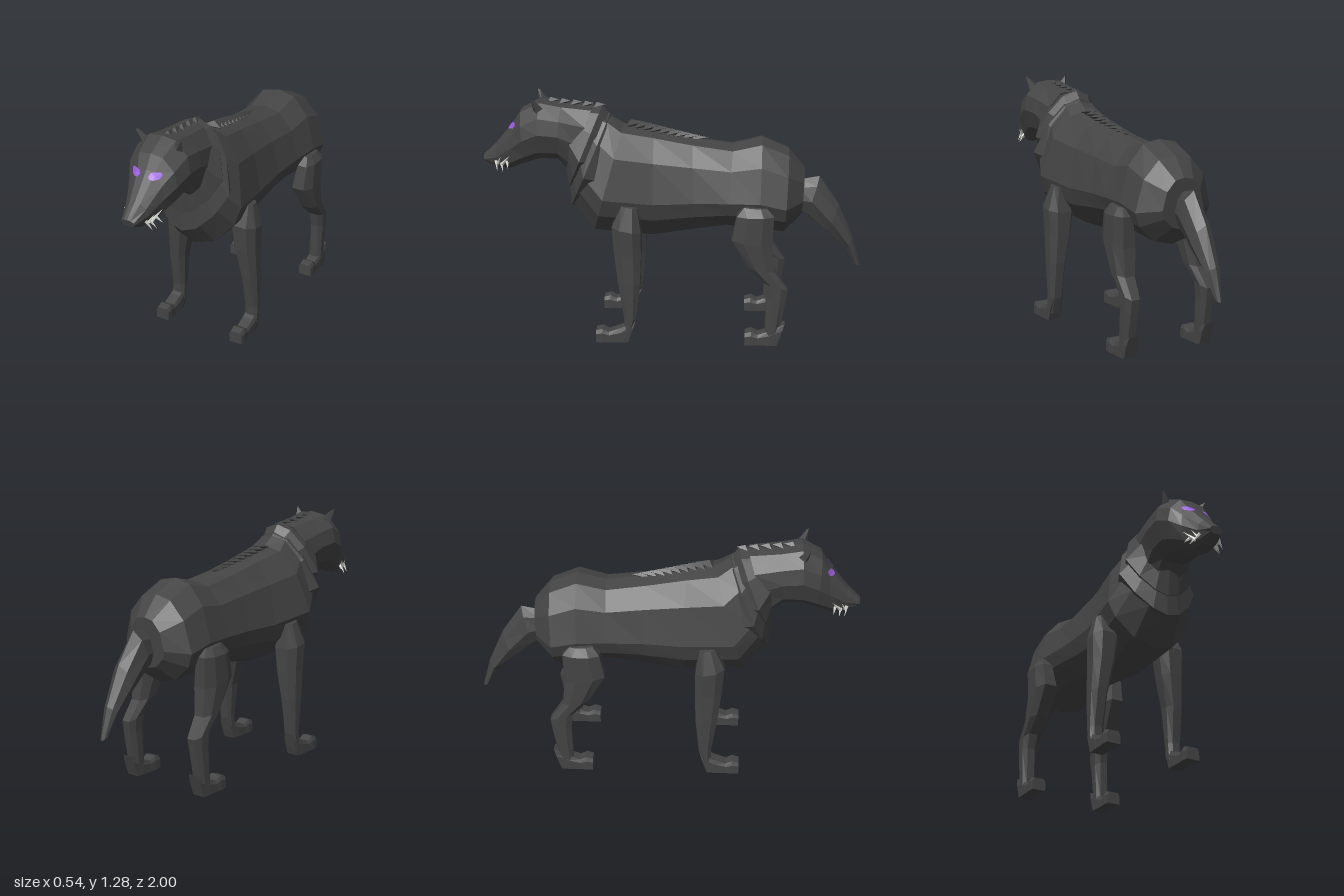
import * as THREE from 'three';
import { ConvexGeometry } from 'three/addons/geometries/ConvexGeometry.js';

const furMat = new THREE.MeshStandardMaterial({ color: 0x444444 });
furMat.name = 'charcoalFur';
const eyeMat = new THREE.MeshStandardMaterial({ color: 0x9a5ce0, side: THREE.DoubleSide });
eyeMat.name = 'violetEye';
const toothMat = new THREE.MeshStandardMaterial({ color: 0xd6d6d0 });
toothMat.name = 'paleTooth';

// Half outlines as [share of half width, share of the way from edge A to edge B]
const TORSO = [[0, 0], [0.42, 0.04], [0.8, 0.24], [1, 0.6], [0.88, 0.76], [0.48, 0.94], [0, 1]];
const RUFF = [[0, 0], [0.4, 0.06], [0.75, 0.26], [1, 0.57], [0.72, 0.79], [0.34, 0.95], [0, 1]];
const HEAD = [[0, 0], [0.48, 0.03], [0.9, 0.25], [1, 0.52], [0.78, 0.85], [0.42, 1]];
const LIMB = [[0.55, 0], [1, 0.28], [1, 0.72], [0.55, 1]];
const PAW = [[0.75, 0], [1, 0.3], [1, 1]];
const TAIL = [[0, 0], [0.7, 0.22], [1, 0.6], [0.5, 0.95], [0, 1]];

// Faceted loft; each ring is [zA, yA, zB, yB, halfWidth, xCentre]
function loft(rings, half) {
  const outline = [...half, ...half.filter(p => p[0] > 0).reverse().map(([f, t]) => [-f, t])];
  const n = outline.length;
  const pts = rings.map(([za, ya, zb, yb, w, xc = 0]) => outline.map(([f, t]) =>
    new THREE.Vector3(xc + w * f, ya + (yb - ya) * t, za + (zb - za) * t)));
  const tris = [];
  for (let r = 0; r < rings.length - 1; r++) {
    for (let i = 0; i < n; i++) {
      const j = (i + 1) % n, a = pts[r], b = pts[r + 1];
      tris.push([a[i], a[j], b[j]], [a[i], b[j], b[i]]);
    }
  }
  const first = pts[0], last = pts[pts.length - 1];
  for (let i = 1; i < n - 1; i++) {
    tris.push([first[0], first[i + 1], first[i]], [last[0], last[i], last[i + 1]]);
  }
  // Turn every face outward
  const c = new THREE.Vector3();
  const volume = tris.reduce((s, [p, q, r]) => s + p.dot(c.crossVectors(q, r)), 0);
  if (volume < 0) tris.forEach(t => t.reverse());
  const geo = new THREE.BufferGeometry().setFromPoints(tris.flat());
  geo.computeVertexNormals();
  return geo;
}

function add(group, name, geo, mat = furMat) {
  const mesh = new THREE.Mesh(geo, mat);
  mesh.name = name;
  group.add(mesh);
  return mesh;
}

const hull = pts => new ConvexGeometry(pts.map(p => new THREE.Vector3(...p)));

// Pointed tooth from a root to a tip
function tooth(root, tip, radius) {
  const a = new THREE.Vector3(...root), b = new THREE.Vector3(...tip);
  const dir = b.clone().sub(a);
  const geo = new THREE.ConeGeometry(radius, dir.length(), 5).toNonIndexed();
  geo.computeVertexNormals();
  geo.applyQuaternion(new THREE.Quaternion().setFromUnitVectors(new THREE.Vector3(0, 1, 0), dir.normalize()));
  geo.translate((a.x + b.x) / 2, (a.y + b.y) / 2, (a.z + b.z) / 2);
  return geo;
}

// Almond-shaped plate laid onto the face
function eyePlate(head, side) {
  const ray = new THREE.Raycaster();
  const rim = [[0, 0], [-0.03, -0.002], [-0.02, 0.013], [0, 0.018], [0.022, 0.016],
    [0.03, 0.005], [0.022, -0.011], [0, -0.017], [-0.02, -0.014]];
  const pts = rim.map(([dx, dy]) => {
    const x = side * (0.053 + dx), y = 1.126 + dy;
    ray.set(new THREE.Vector3(x, y, 2), new THREE.Vector3(0, 0, -1));
    const hit = ray.intersectObject(head)[0];
    return new THREE.Vector3(x, y, (hit ? hit.point.z : 0.82) + 0.006);
  });
  const tris = [];
  for (let i = 1; i < pts.length; i++) {
    const a = pts[i], b = pts[i % (pts.length - 1) + 1];
    tris.push(pts[0], ...(side > 0 ? [b, a] : [a, b]));
  }
  const geo = new THREE.BufferGeometry().setFromPoints(tris);
  geo.computeVertexNormals();
  return geo;
}

// Swept arrowhead of raised hair on the spine
const tuft = (y, z, w, len) => hull([[0, y, z - len], [w, y - 0.012, z + 0.3 * len],
  [-w, y - 0.012, z + 0.3 * len], [0, y + 0.012, z], [0, y - 0.03, z]]);

export function createModel() {
  const model = new THREE.Group();
  model.name = 'wolf';

  add(model, 'torso', loft([
    [0.33, 1.175, 0.53, 0.69, 0.19],
    [0.26, 1.13, 0.42, 0.55, 0.235],
    [0.1, 1.1, 0.1, 0.52, 0.202],
    [-0.1, 1.06, -0.12, 0.56, 0.195],
    [-0.31, 1.03, -0.28, 0.59, 0.208],
    [-0.46, 1.07, -0.45, 0.57, 0.225],
    [-0.6, 1.01, -0.58, 0.56, 0.22],
    [-0.685, 0.91, -0.67, 0.65, 0.12],
  ], TORSO));

  // Two overlapping layers of neck fur
  add(model, 'lowerRuff', loft([
    [0.38, 1.2, 0.55, 0.8, 0.165],
    [0.33, 1.185, 0.545, 0.68, 0.225],
    [0.31, 1.13, 0.43, 0.68, 0.19],
  ], RUFF));
  add(model, 'upperRuff', loft([
    [0.48, 1.22, 0.575, 0.93, 0.14],
    [0.37, 1.23, 0.555, 0.785, 0.2],
    [0.34, 1.19, 0.47, 0.79, 0.165],
  ], RUFF));

  const head = add(model, 'head', loft([
    [1.0, 0.957, 0.99, 0.92, 0.038],
    [0.93, 1.025, 0.92, 0.892, 0.062],
    [0.83, 1.145, 0.85, 0.895, 0.1],
    [0.79, 1.21, 0.77, 0.93, 0.138],
    [0.69, 1.262, 0.7, 0.955, 0.156],
    [0.58, 1.24, 0.6, 0.955, 0.15],
    [0.42, 1.225, 0.54, 0.88, 0.14],
  ], HEAD));

  for (const s of [1, -1]) {
    const side = s > 0 ? 'left' : 'right';
    add(model, side + 'Eye', eyePlate(head, s), eyeMat);

    add(model, side + 'Ear', hull([[0.128, 1.282, 0.725], [0.118, 1.278, 0.71], [0.045, 1.215, 0.69],
      [0.11, 1.165, 0.68], [0.085, 1.2, 0.715], [0.075, 1.19, 0.635]].map(([x, y, z]) => [s * x, y, z])));

    // Fangs splaying out of the jaw
    const fangs = [
      [[0.06, 0.915, 0.9], [0.1, 0.975, 0.85], 0.011],
      [[0.055, 0.935, 0.93], [0.085, 0.89, 0.92], 0.009],
      [[0.065, 0.94, 0.87], [0.105, 0.905, 0.86], 0.01],
      [[0.06, 0.92, 0.92], [0.085, 0.965, 0.9], 0.008],
      [[0.06, 0.925, 0.9], [0.09, 0.885, 0.89], 0.008],
    ];
    for (const [a, b, r] of fangs) {
      add(model, side + 'Fang', tooth([s * a[0], a[1], a[2]], [s * b[0], b[1], b[2]], r), toothMat);
    }

    const legs = {
      FrontLeg: [
        [0.26, 0.75, 0.18, 0.74, 0.03, 0.205], [0.31, 0.64, 0.16, 0.61, 0.075, 0.195],
        [0.3, 0.5, 0.16, 0.48, 0.062, 0.203], [0.28, 0.33, 0.165, 0.33, 0.046, 0.221],
        [0.25, 0.14, 0.185, 0.13, 0.038, 0.227], [0.25, 0.05, 0.21, 0.04, 0.037, 0.227],
      ],
      HindLeg: [
        [-0.37, 0.755, -0.49, 0.75, 0.025, 0.215], [-0.335, 0.71, -0.525, 0.71, 0.05, 0.218],
        [-0.31, 0.58, -0.52, 0.55, 0.062, 0.208], [-0.4, 0.43, -0.535, 0.41, 0.052, 0.215],
        [-0.48, 0.35, -0.605, 0.31, 0.042, 0.223], [-0.495, 0.27, -0.595, 0.24, 0.038, 0.226],
        [-0.49, 0.05, -0.56, 0.04, 0.037, 0.227],
      ],
    };
    for (const [name, rings] of Object.entries(legs)) {
      add(model, side + name, loft(rings.map(r => [...r.slice(0, 5), s * r[5]]), LIMB));
      const dz = name === 'FrontLeg' ? 0 : -0.785;
      const paw = [[0.19, 0.12, 0.23, 0, 0.035], [0.27, 0.08, 0.27, 0, 0.038],
        [0.33, 0.058, 0.33, 0, 0.037], [0.365, 0.075, 0.37, 0, 0.04], [0.4, 0.065, 0.4, 0, 0.037]];
      add(model, side + name + 'Paw',
        loft(paw.map(([za, ya, zb, yb, w]) => [za + dz, ya, zb + dz, yb, w, s * 0.227]), PAW));
    }
  }

  add(model, 'tail', loft([
    [-0.66, 0.84, -0.66, 0.67, 0.045],
    [-0.765, 0.86, -0.7, 0.65, 0.062],
    [-0.87, 0.71, -0.81, 0.56, 0.062],
    [-0.955, 0.52, -0.91, 0.47, 0.04],
    [-1.0, 0.36, -0.96, 0.38, 0.018],
  ], TAIL));

  // Spine hair, shrinking toward the rump, and smaller tufts along the nape
  for (let i = 0; i < 9; i++) {
    const k = i / 8;
    add(model, 'spineTuft', tuft(1.142 - 0.08 * k, 0.22 - 0.33 * k, 0.05 - 0.032 * k, 0.07));
  }
  for (let i = 0; i < 5; i++) {
    add(model, 'napeTuft', tuft(1.232 + 0.006 * i, 0.4 + 0.06 * i, 0.022, 0.045));
  }
  return model;
}
